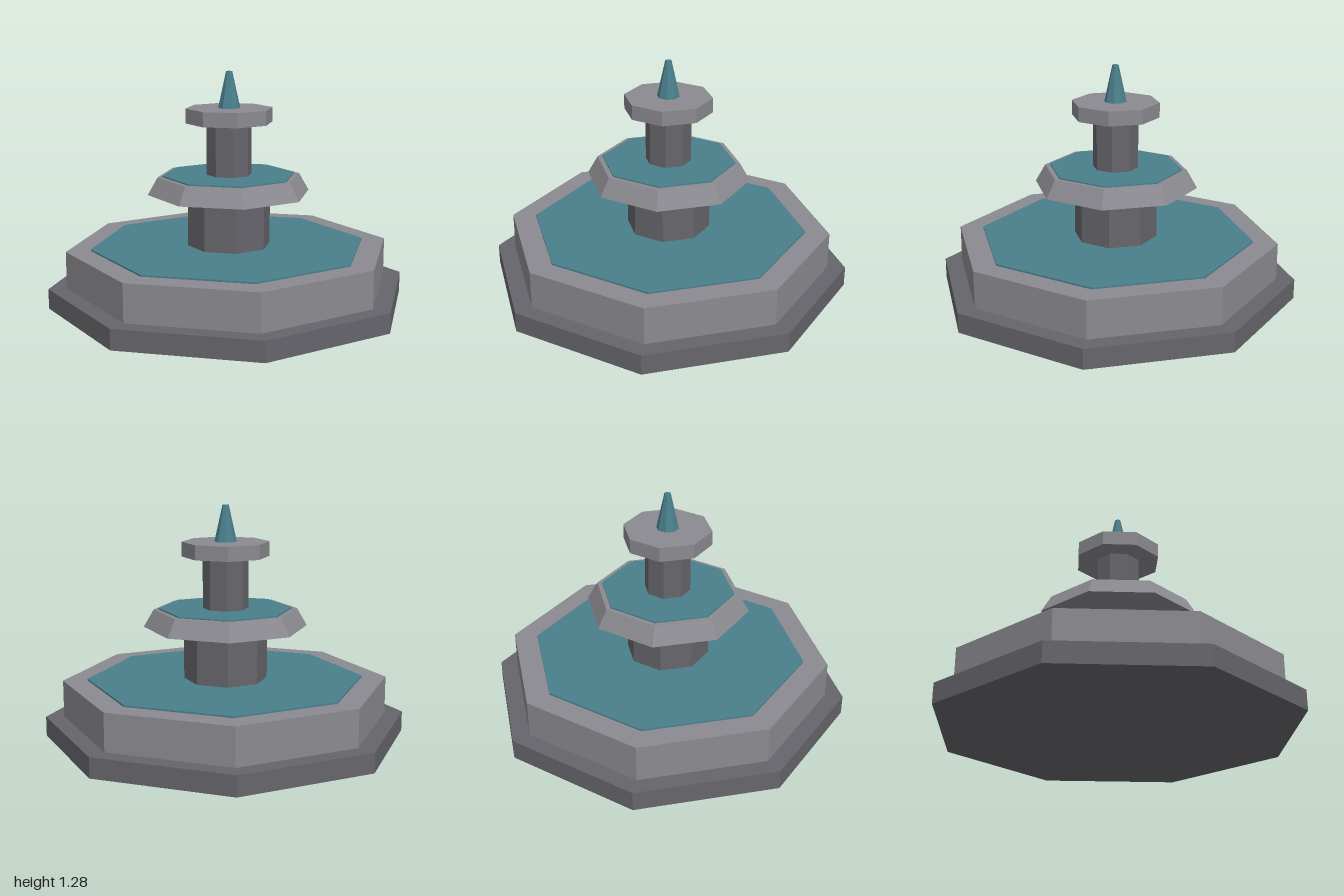
import * as THREE from 'three';

export function createModel() {
  const fountain = new THREE.Group();
  fountain.name = 'fountain';

  const material = (name, color) => {
    const m = new THREE.MeshStandardMaterial({ color, flatShading: true });
    m.name = name;
    return m;
  };
  const paleStone = material('paleStone', 0x8a8a90);
  const darkStone = material('darkStone', 0x66656b);
  const water = material('water', 0x4a7f8c);

  // Octagonal tier with corners on the x and z axes
  const tier = (name, mat, bottomRadius, topRadius, y0, y1) => {
    const geometry = new THREE.CylinderGeometry(topRadius, bottomRadius, y1 - y0, 8);
    const mesh = new THREE.Mesh(geometry, mat);
    mesh.name = name;
    mesh.position.y = (y0 + y1) / 2;
    fountain.add(mesh);
  };

  // Ground step and main pool
  tier('baseStep', darkStone, 1, 1, 0, 0.11);
  tier('basin', paleStone, 0.9, 0.9, 0.11, 0.315);
  tier('basinWater', water, 0.765, 0.765, 0.315, 0.324);

  // Middle bowl on its column
  tier('lowerColumn', darkStone, 0.23, 0.23, 0.324, 0.615);
  tier('bowl', paleStone, 0.45, 0.395, 0.615, 0.711);
  tier('bowlWater', water, 0.367, 0.367, 0.711, 0.718);

  // Upper column, cap and water jet
  tier('upperColumn', darkStone, 0.125, 0.125, 0.718, 1.003);
  tier('cap', paleStone, 0.24, 0.24, 1.003, 1.083);
  tier('waterJet', water, 0.061, 0.017, 1.083, 1.282);

  return fountain;
}
